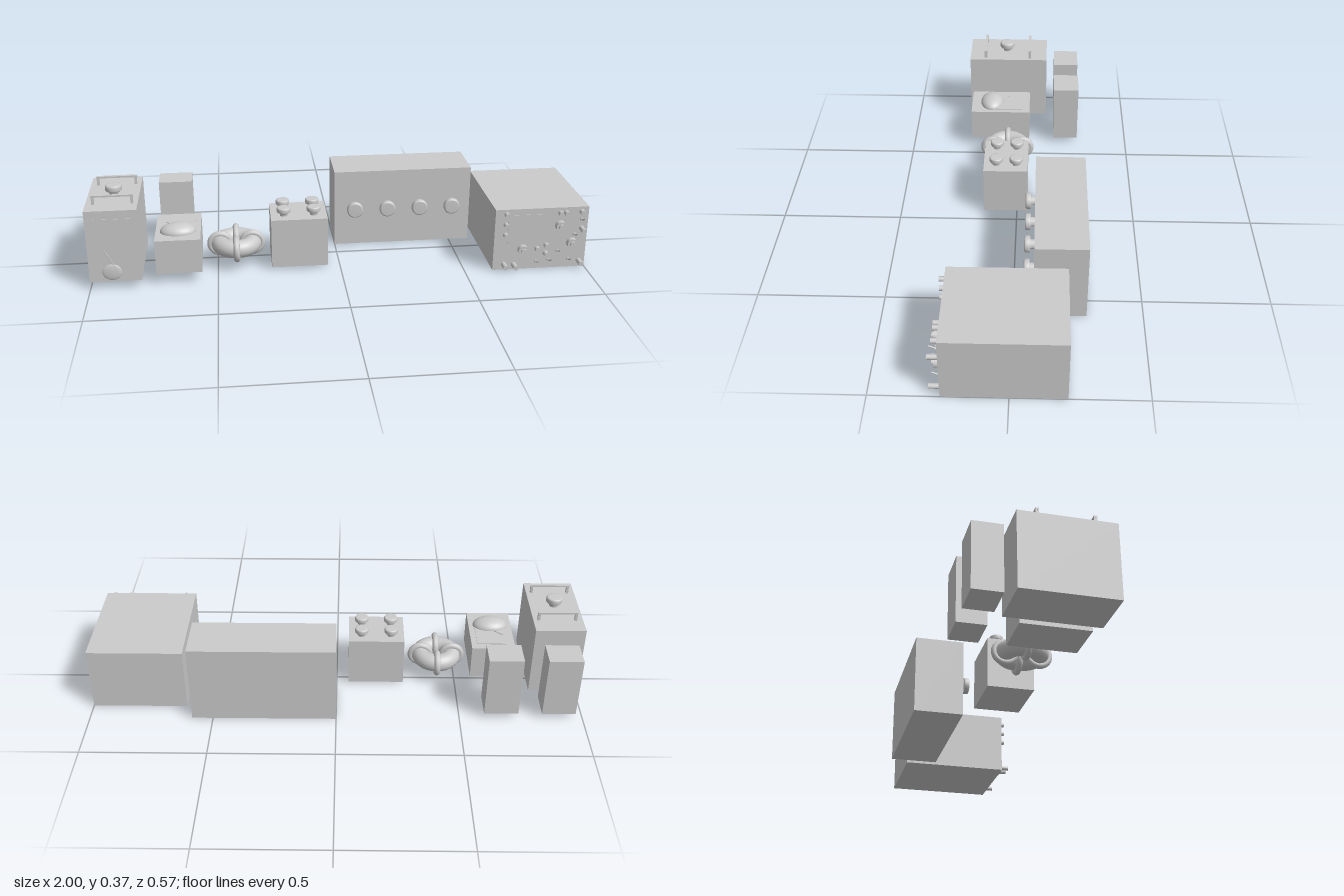
import * as THREE from 'three';

const material = new THREE.MeshStandardMaterial({ color: 0xcccccc, side: THREE.DoubleSide });

function mesh(parent, name, geometry, x = 0, y = 0, z = 0) {
  const m = new THREE.Mesh(geometry, material);
  m.name = name;
  m.position.set(x, y, z);
  parent.add(m);
  return m;
}

function group(parent, name) {
  const g = new THREE.Group();
  g.name = name;
  parent.add(g);
  return g;
}

// Box given by its limits along each axis
function box(parent, name, [x0, x1], [y0, y1], [z0, z1]) {
  return mesh(parent, name, new THREE.BoxGeometry(x1 - x0, y1 - y0, z1 - z0),
    (x0 + x1) / 2, (y0 + y1) / 2, (z0 + z1) / 2);
}

// Narrow stem with a wide, softly bevelled cap, standing along +y
function knobGeometry(r, h) {
  const pts = [[0.55, 0], [0.55, 0.42], [0.92, 0.42], [1, 0.5], [1, 0.85], [0.92, 0.97], [0.8, 1], [0, 1]];
  return new THREE.LatheGeometry(pts.map(([a, b]) => new THREE.Vector2(a * r, b * h)), 28);
}

// Cylinder running forward from z0 to z1
function stud(parent, name, x, y, r, z0, z1, sides = 16) {
  const m = mesh(parent, name, new THREE.CylinderGeometry(r, r, z1 - z0, sides), x, y, (z0 + z1) / 2);
  m.rotation.x = Math.PI / 2;
  return m;
}

// Thin rod between two points
function rod(parent, name, a, b, r) {
  const curve = new THREE.LineCurve3(new THREE.Vector3(...a), new THREE.Vector3(...b));
  return mesh(parent, name, new THREE.TubeGeometry(curve, 1, r, 8));
}

function oscilloscope(root) {
  const g = group(root, 'oscilloscope');
  const front = 0.243;
  box(g, 'scopeCase', [0.615, 1], [0, 0.265], [-0.208, front]);
  box(g, 'screen', [0.67, 0.828], [0.118, 0.24], [front, front + 0.002]);
  // Small buttons: x, y
  [[0.66, 0.245], [0.66, 0.2], [0.66, 0.155], [0.882, 0.243], [0.906, 0.243], [0.97, 0.245],
    [0.795, 0.09], [0.832, 0.104], [0.832, 0.067]].forEach(([x, y]) =>
    stud(g, 'button', x, y, 0.01, front, 0.265));
  // Large stepped dials
  [[0.885, 0.188], [0.938, 0.11], [0.735, 0.088]].forEach(([x, y]) => {
    stud(g, 'dialBase', x, y, 0.021, front, 0.264, 24);
    stud(g, 'dialCap', x, y, 0.011, 0.264, 0.272);
  });
  // Long sockets
  [[0.66, 0.025], [0.702, 0.022], [0.975, 0.027], [0.975, 0.172]].forEach(([x, y]) =>
    stud(g, 'socket', x, y, 0.01, front, 0.283));
  // Toggle switches
  [[0.972, 0.21], [0.948, 0.145], [0.88, 0.075], [0.795, 0.03], [0.848, 0.035], [0.93, 0.035]].forEach(([x, y]) => {
    stud(g, 'toggleBase', x, y, 0.007, front, 0.251, 12);
    rod(g, 'toggleLever', [x, y, 0.248], [x, y + 0.012, 0.275], 0.003);
  });
}

function generator(root) {
  const g = group(root, 'controlUnit');
  box(g, 'controlCase', [0, 0.585], [0, 0.33], [-0.283, -0.08]);
  for (let i = 0; i < 4; i++) {
    const k = mesh(g, 'frontKnob', knobGeometry(0.034, 0.04), 0.085 + i * 0.139, 0.168, -0.08);
    k.rotation.x = Math.PI / 2;
  }
}

function terminalBox(root) {
  const g = group(root, 'terminalBox');
  box(g, 'terminalCase', [-0.28, -0.05], [0.01, 0.217], [-0.045, 0.142]);
  for (const x of [-0.226, -0.104])
    for (const z of [0.004, 0.089])
      mesh(g, 'terminalKnob', knobGeometry(0.028, 0.036), x, 0.217, z);
}

function coil(root) {
  const g = group(root, 'ringCoil');
  g.position.set(-0.422, 0.089, 0.053);
  const core = mesh(g, 'coilCore', new THREE.TorusGeometry(0.066, 0.037, 20, 48));
  core.rotation.x = Math.PI / 2;
  // Four bands wrapped round the core
  for (let i = 0; i < 4; i++) {
    const arm = group(g, 'coilBand');
    arm.rotation.y = i * Math.PI / 2;
    mesh(arm, 'band', new THREE.TorusGeometry(0.041, 0.013, 12, 32), 0.066, 0, 0);
  }
}

function meter(root) {
  const g = group(root, 'meter');
  box(g, 'meterCase', [-0.742, -0.562], [0.045, 0.186], [-0.045, 0.224]);
  box(g, 'meterPlate', [-0.71, -0.586], [0.186, 0.189], [-0.013, 0.13]);
  const dome = mesh(g, 'meterDome',
    new THREE.SphereGeometry(1, 32, 12, 0, Math.PI * 2, 0, Math.PI / 2), -0.652, 0.186, 0.131);
  dome.scale.set(0.072, 0.035, 0.052);
  rod(g, 'meterNeedle', [-0.7, 0.191, 0.05], [-0.655, 0.191, 0.09], 0.002);
}

function cells(root) {
  box(root, 'rightCell', [-0.97, -0.834], [0.024, 0.285], [-0.27, -0.158]);
  box(root, 'leftCell', [-0.738, -0.6], [0.024, 0.285], [-0.27, -0.158]);
}

function portableMeter(root) {
  const g = group(root, 'portableMeter');
  box(g, 'portableCase', [-1, -0.798], [0.03, 0.33], [-0.122, 0.24]);
  mesh(g, 'topKnob', knobGeometry(0.033, 0.042), -0.898, 0.33, 0.067);
  // Carrying handles
  for (const z of [-0.042, 0.167]) {
    box(g, 'handleBar', [-0.976, -0.814], [0.36, 0.367], [z - 0.006, z + 0.006]);
    for (const x of [-0.97, -0.82])
      box(g, 'handlePost', [x - 0.005, x + 0.005], [0.33, 0.36], [z - 0.006, z + 0.006]);
  }
  // Front dial with needle and low dome
  box(g, 'dialPlate', [-0.966, -0.825], [0.115, 0.295], [0.24, 0.242]);
  rod(g, 'dialNeedle', [-0.935, 0.167, 0.243], [-0.89, 0.08, 0.243], 0.002);
  const dome = mesh(g, 'dialDome',
    new THREE.SphereGeometry(1, 28, 10, 0, Math.PI * 2, 0, Math.PI / 2), -0.91, 0.07, 0.24);
  dome.rotation.x = Math.PI / 2;
  dome.scale.set(0.038, 0.006, 0.034);
}

export function createModel() {
  const root = new THREE.Group();
  root.name = 'electronicsBench';
  [oscilloscope, generator, terminalBox, coil, meter, cells, portableMeter].forEach((build) => build(root));
  return root;
}
